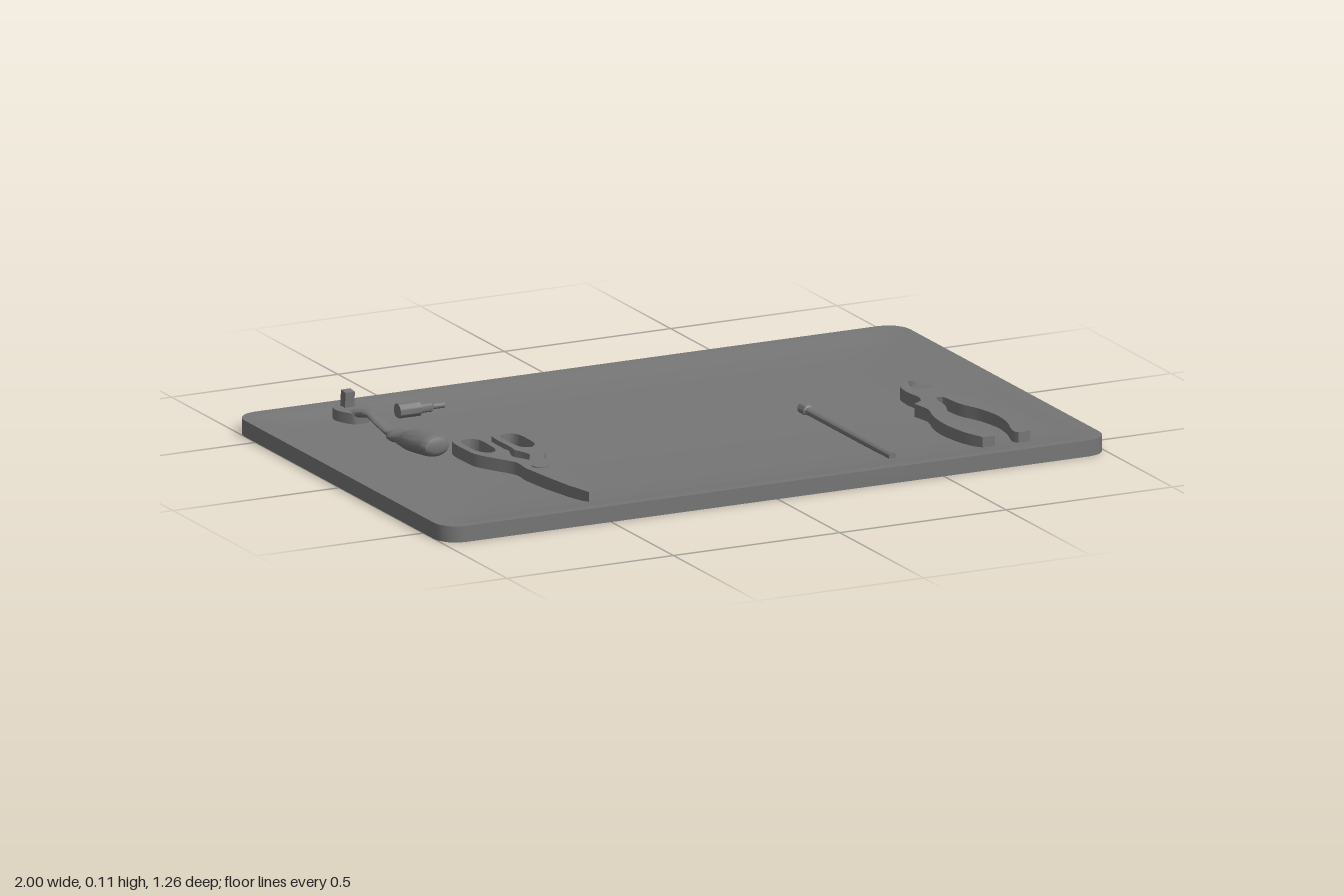
import * as THREE from 'three';
import { toCreasedNormals } from 'three/addons/utils/BufferGeometryUtils.js';

const V2 = (x, y) => new THREE.Vector2(x, y);

// Skin a list of equal-length rings of [x, y, z] points and cap both ends.
function skin(rings, crease = 0.6) {
  const n = rings[0].length, pos = [], idx = [];
  rings.forEach(r => r.forEach(p => pos.push(...p)));
  const centre = ring => {
    const c = [0, 1, 2].map(k => ring.reduce((s, p) => s + p[k], 0) / n);
    pos.push(...c);
    return pos.length / 3 - 1;
  };
  const start = centre(rings[0]), end = centre(rings[rings.length - 1]);
  const last = (rings.length - 1) * n;
  for (let j = 0; j < n; j++) {
    const k = (j + 1) % n;
    for (let i = 0; i < last; i += n) {
      idx.push(i + j, i + k, i + n + j, i + k, i + n + k, i + n + j);
    }
    idx.push(start, k, j, end, last + j, last + k);
  }
  const g = new THREE.BufferGeometry();
  g.setAttribute('position', new THREE.Float32BufferAttribute(pos, 3));
  g.setIndex(idx);
  return toCreasedNormals(g, crease);
}

// Elliptical sections [z, y, rx, ry] along z.
function loft(sections) {
  const n = 24;
  return skin(sections.map(([z, y, rx, ry]) => Array.from({ length: n }, (_, j) => {
    const a = j / n * Math.PI * 2;
    return [Math.cos(a) * rx, y + Math.sin(a) * ry, z];
  })));
}

// Rounded rectangle ring, inset from the tray edge.
function trayRing(inset, y) {
  const r = 0.065, ring = [];
  const cx = 1 - inset - r, cz = 0.63 - inset - r;
  for (let q = 0; q < 4; q++) {
    const sx = q === 0 || q === 3 ? 1 : -1, sz = q < 2 ? -1 : 1;
    for (let i = 0; i <= 6; i++) {
      const a = (q + i / 6) * Math.PI / 2;
      ring.push([sx * cx + r * Math.cos(a), y, sz * cz - r * Math.sin(a)]);
    }
  }
  return ring;
}

// Upright plate from an outline in (x, z).
function plate(outline, holes, y, top) {
  const flat = pts => pts.map(p => V2(p.x, -p.y));
  const shape = new THREE.Shape(flat(outline));
  holes.forEach(h => shape.holes.push(new THREE.Path(flat(h))));
  const g = new THREE.ExtrudeGeometry(shape, { depth: top - y, bevelEnabled: false });
  return toCreasedNormals(g.rotateX(-Math.PI / 2).translate(0, y, 0), 0.5);
}

const spline = (pts, n) => new THREE.SplineCurve(pts.map(p => V2(...p))).getPoints(n);
const mirror = pts => pts.map(p => V2(-p.x, p.y)).reverse();

export function createModel() {
  const grey = new THREE.MeshStandardMaterial({ color: 0x767676, side: THREE.DoubleSide });
  grey.name = 'tool grey';
  const model = new THREE.Group();
  model.name = 'toolTray';
  const group = (name, x, z) => {
    const g = new THREE.Group();
    g.name = name;
    g.position.set(x, 0, z);
    model.add(g);
    return g;
  };
  const add = (parent, name, geometry) => {
    const m = new THREE.Mesh(geometry, grey);
    m.name = name;
    parent.add(m);
    return m;
  };
  const floor = 0.027;

  // Shallow dished tray
  add(model, 'tray', skin([[0, 0], [0, 0.045], [0.015, 0.045], [0.045, 0.042],
    [0.08, 0.036], [0.13, 0.031], [0.3, floor], [0.5, floor]].map(s => trayRing(...s))));

  // Pliers: head and handles in one outline
  const pliers = group('pliers', 0.738, 0);
  const outer = [
    ...spline([[0, -0.064], [0.03, -0.04], [0.048, -0.005], [0.053, 0.05], [0.047, 0.1], [0.058, 0.135]], 24),
    ...spline([[0.088, 0.155], [0.082, 0.19], [0.08, 0.225], [0.098, 0.29], [0.105, 0.37],
      [0.095, 0.46], [0.072, 0.53]], 24)];
  const inner = spline([[0.035, 0.532], [0.03, 0.505], [0.052, 0.43], [0.06, 0.36], [0.047, 0.28],
    [0.022, 0.21], [0.015, 0.15], [0.011, 0.13], [0, 0.122]], 30);
  const side = [...outer, ...inner];
  const jawEdge = spline([[0, -0.054], [0.022, -0.03], [0.037, 0.0], [0.034, 0.022], [0, 0.035]], 16);
  const jawHole = [...jawEdge, ...mirror(jawEdge).slice(1, -1)];
  add(pliers, 'pliersBody', plate([...side, ...mirror(side).slice(1, -1)], [jawHole], floor, 0.063));
  // Sloping cutting faces in the jaw
  for (const s of [-1, 1]) {
    const pos = [], idx = [];
    jawEdge.forEach((p, i) => {
      pos.push(s * p.x, 0.063, p.y, 0, i === 0 || i === 16 ? 0.063 : 0.05, p.y);
      if (i) {
        const b = i * 2;
        idx.push(...(s > 0 ? [b - 2, b - 1, b, b, b - 1, b + 1] : [b - 2, b, b - 1, b, b + 1, b - 1]));
      }
    });
    const g = new THREE.BufferGeometry();
    g.setAttribute('position', new THREE.Float32BufferAttribute(pos, 3));
    g.setIndex(idx);
    add(pliers, 'cuttingFace', toCreasedNormals(g, 0.5));
  }

  // Scissors: two finger loops, shanks and closed blades
  const scissors = group('scissors', -0.519, 0);
  const grip = [
    ...spline([[0.012, 0.05], [0.012, -0.06], [0.028, -0.094], [0.06, -0.103], [0.093, -0.092],
      [0.108, -0.055], [0.108, 0.02], [0.104, 0.065], [0.078, 0.12], [0.05, 0.17], [0.042, 0.2],
      [0.046, 0.245]], 48),
    V2(0.036, 0.34), V2(0.02, 0.45), V2(0, 0.535)];
  const gap = spline([[0, 0.18], [0.013, 0.155], [0.025, 0.13], [0.018, 0.1], [0.008, 0.075]], 10);
  const half = [...gap, ...grip];
  const fingerHole = spline([[0.032, 0.035], [0.03, -0.045], [0.042, -0.07], [0.06, -0.077],
    [0.078, -0.07], [0.088, -0.045], [0.088, 0.025], [0.078, 0.055], [0.058, 0.068], [0.04, 0.058]], 36);
  add(scissors, 'scissorsBody', plate([...half, ...mirror(half).slice(1, -1)],
    [fingerHole, mirror(fingerHole)], floor, 0.062));
  const pivot = add(scissors, 'scissorsPivot', new THREE.CylinderGeometry(0.024, 0.024, 0.008, 24));
  pivot.position.set(0, 0.061, 0.245);

  // Ratchet: round grip, collar and arched neck
  const ratchet = group('ratchet', -0.72, 0);
  add(ratchet, 'ratchetNeck', loft([[-0.46, 0.057, 0.026, 0.012], [-0.43, 0.063, 0.021, 0.012],
    [-0.39, 0.073, 0.018, 0.011], [-0.36, 0.076, 0.017, 0.01], [-0.31, 0.068, 0.02, 0.009],
    [-0.25, 0.057, 0.02, 0.009], [-0.2, 0.06, 0.018, 0.012]]));
  add(ratchet, 'ratchetCollar', loft([[-0.22, 0.058, 0.026, 0.013], [-0.21, 0.059, 0.034, 0.016],
    [-0.19, 0.06, 0.037, 0.017], [-0.17, 0.062, 0.031, 0.018], [-0.15, 0.064, 0.036, 0.022],
    [-0.12, 0.067, 0.037, 0.026]]));
  add(ratchet, 'ratchetHandle', loft([[-0.14, 0.066, 0.031, 0.022], [-0.125, 0.068, 0.04, 0.027],
    [-0.1, 0.071, 0.043, 0.03], [-0.05, 0.077, 0.044, 0.031], [0, 0.083, 0.043, 0.031],
    [0.018, 0.085, 0.041, 0.029], [0.027, 0.086, 0.035, 0.024], [0.031, 0.086, 0.024, 0.016]]));
  // Ratchet head with square drive
  const head = spline([[0, -0.54], [0.034, -0.525], [0.048, -0.49], [0.042, -0.46], [0.022, -0.425], [0, -0.422]], 24);
  add(ratchet, 'ratchetHead', plate([...head, ...mirror(head).slice(1, -1)], [], 0.036, 0.066));
  const drive = add(ratchet, 'squareDrive', new THREE.BoxGeometry(0.028, 0.05, 0.028));
  drive.position.set(-0.003, 0.085, -0.5);
  drive.rotation.x = 0.1;

  // Stepped bit lying along x
  const bit = group('socketBit', -0.597, -0.453);
  const bitGeo = loft([[0, 0, 0.021, 0.021], [0.064, 0, 0.021, 0.021], [0.066, 0, 0.014, 0.014],
    [0.1, 0, 0.014, 0.014], [0.107, 0, 0.008, 0.008], [0.14, 0, 0.008, 0.008]]);
  const bitMesh = add(bit, 'steppedBit', bitGeo);
  bitMesh.rotation.y = Math.PI / 2;
  bitMesh.position.y = 0.048;

  // Extension rod
  const rod = group('extensionRod', 0.406, 0);
  add(rod, 'rodShaft', loft([[-0.027, 0.037, 0.016, 0.016], [0.008, 0.037, 0.016, 0.016],
    [0.012, 0.037, 0.011, 0.011], [0.51, 0.037, 0.011, 0.011]]));

  return model;
}
